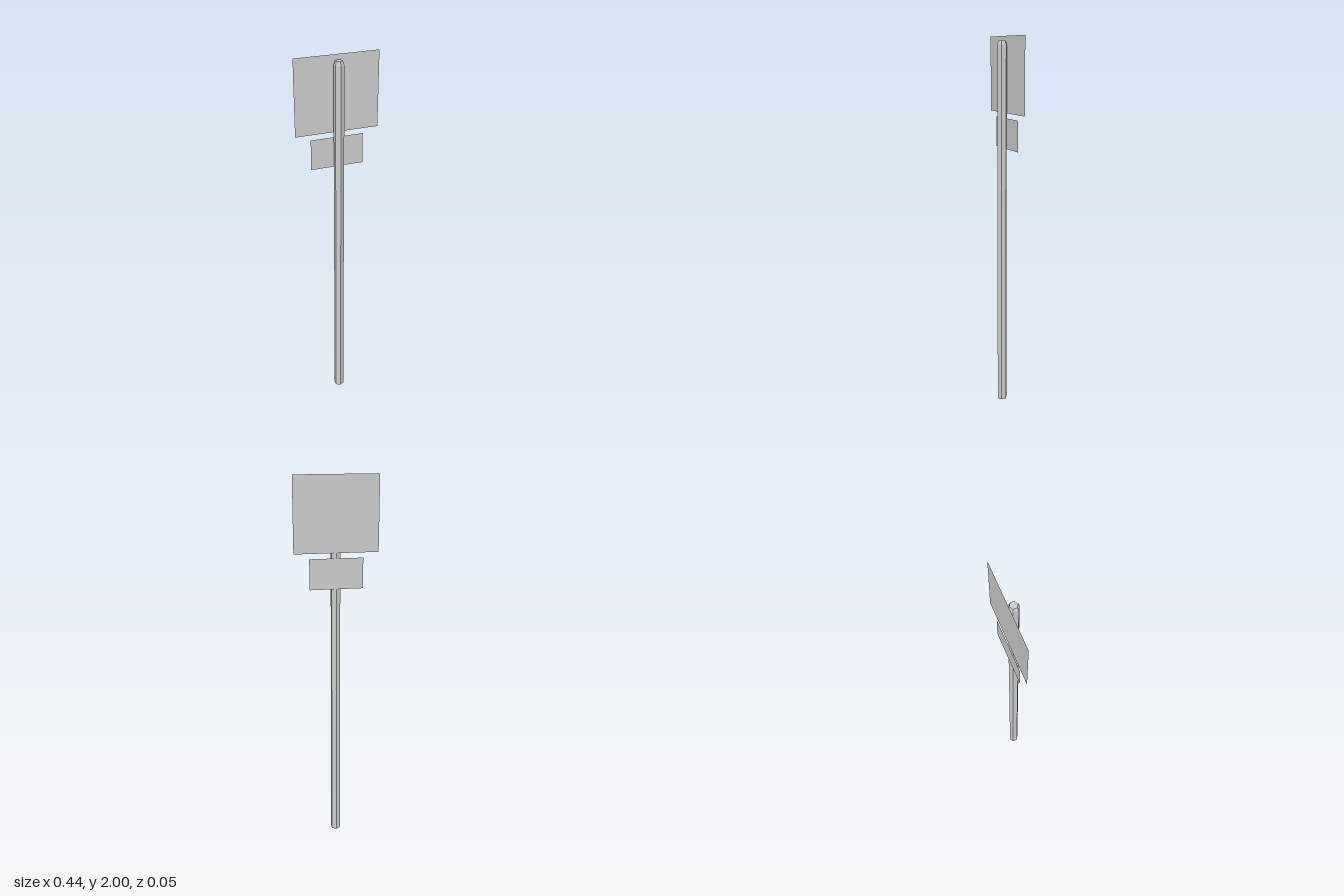
import * as THREE from 'three';

const POLE_Z = 0.001;
const PANEL_Z = -0.0265;

export function createModel() {
  const model = new THREE.Group();
  model.name = 'signPost';

  // Hexagonal pole with a bevelled top
  const profile = [[0, 0], [0.0265, 0], [0.0265, 1.955], [0.0195, 1.975], [0, 1.975]]
    .map(([r, y]) => new THREE.Vector2(r, y));
  const pole = new THREE.Mesh(
    new THREE.LatheGeometry(profile, 6),
    new THREE.MeshStandardMaterial({ color: 0xcccccc, flatShading: true })
  );
  pole.name = 'pole';
  pole.position.z = POLE_Z;
  model.add(pole);

  // Thin flat panels fixed to the back of the pole
  const panelMaterial = new THREE.MeshStandardMaterial({ color: 0xcccccc, side: THREE.DoubleSide });
  const addPanel = (name, width, bottom, top) => {
    const panel = new THREE.Mesh(new THREE.PlaneGeometry(width, top - bottom), panelMaterial);
    panel.name = name;
    panel.rotation.y = Math.PI;
    panel.position.set(0, (bottom + top) / 2, PANEL_Z);
    model.add(panel);
  };
  addPanel('mainSignPanel', 0.44, 1.61, 2);
  addPanel('lowerSignPanel', 0.28, 1.423, 1.583);

  return model;
}
